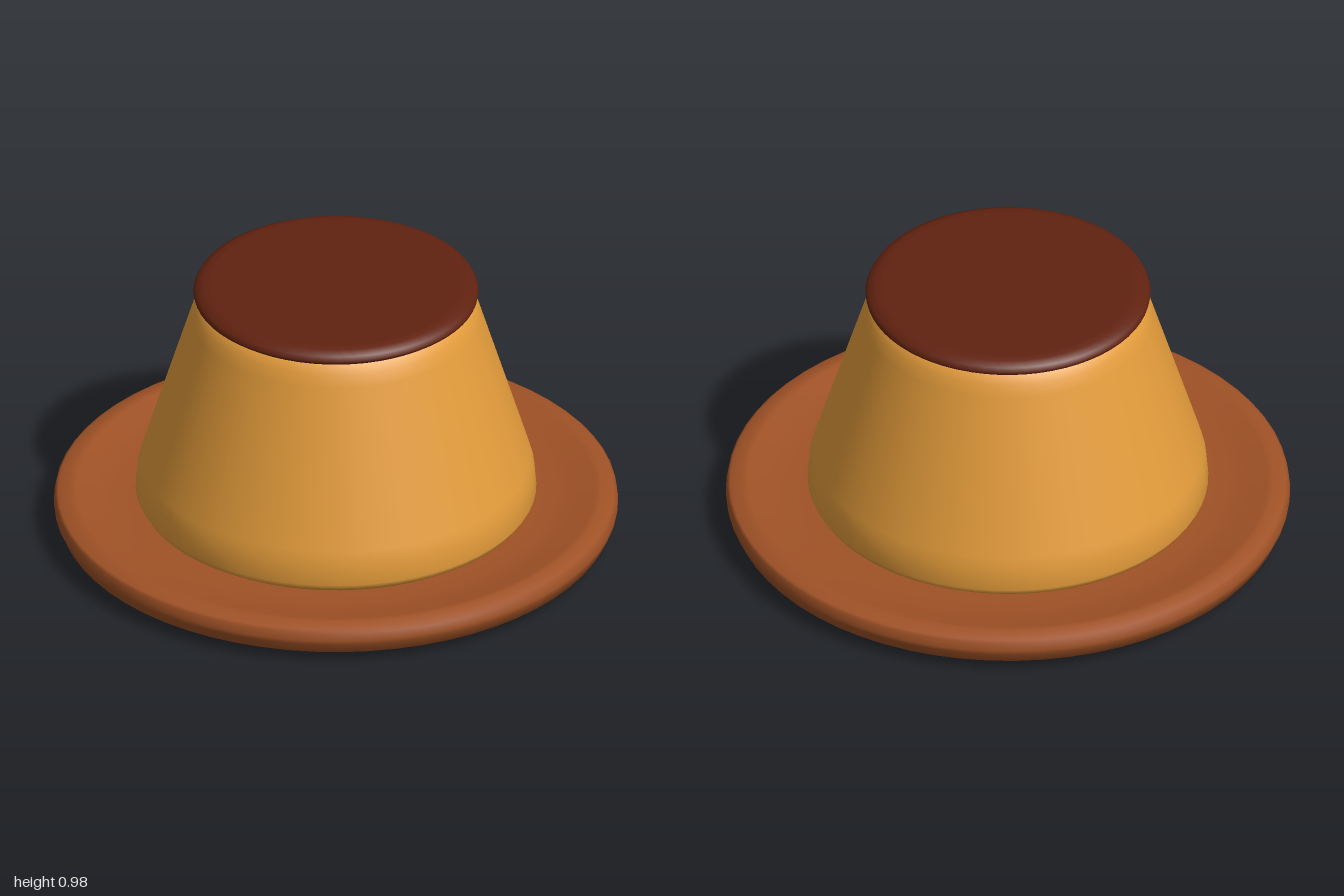
import * as THREE from 'three';

const SEGMENTS = 64;

function material(name, color) {
  const m = new THREE.MeshStandardMaterial({ color });
  m.name = name;
  return m;
}

// Spins a profile of [radius, height] pairs, listed from the bottom up
function turned(name, profile, mat) {
  const points = profile.map(([r, y]) => new THREE.Vector2(r, y));
  const mesh = new THREE.Mesh(new THREE.LatheGeometry(points, SEGMENTS), mat);
  mesh.name = name;
  return mesh;
}

export function createModel() {
  const group = new THREE.Group();
  group.name = 'custardPudding';

  const brown = material('plateBrown', 0xa05226);
  const custardYellow = material('custardYellow', 0xe49c3b);
  const caramelBrown = material('caramelBrown', 0x612210);

  // Shallow plate with a rounded rim and a slightly sunken middle
  group.add(turned('plate', [
    [0, 0], [0.70, 0.005], [0.76, 0.01], [0.96, 0.033], [0.98, 0.04],
    [0.998, 0.08], [1, 0.095], [0.995, 0.125], [0.985, 0.132], [0.945, 0.146],
    [0.92, 0.144], [0.85, 0.126], [0.78, 0.115], [0.70, 0.113], [0, 0.113],
  ], brown));

  // Tapered custard with softened top and bottom edges
  group.add(turned('custard', [
    [0, 0.112], [0.67, 0.113], [0.695, 0.13], [0.71, 0.155], [0.703, 0.235],
    [0.69, 0.28], [0.515, 0.85], [0.50, 0.895], [0.477, 0.93], [0.45, 0.94], [0, 0.94],
  ], custardYellow));

  // Caramel disc on top
  group.add(turned('caramelTop', [
    [0, 0.93], [0.46, 0.93], [0.488, 0.932], [0.503, 0.943], [0.505, 0.952],
    [0.497, 0.968], [0.47, 0.981], [0.44, 0.983], [0, 0.983],
  ], caramelBrown));

  return group;
}
